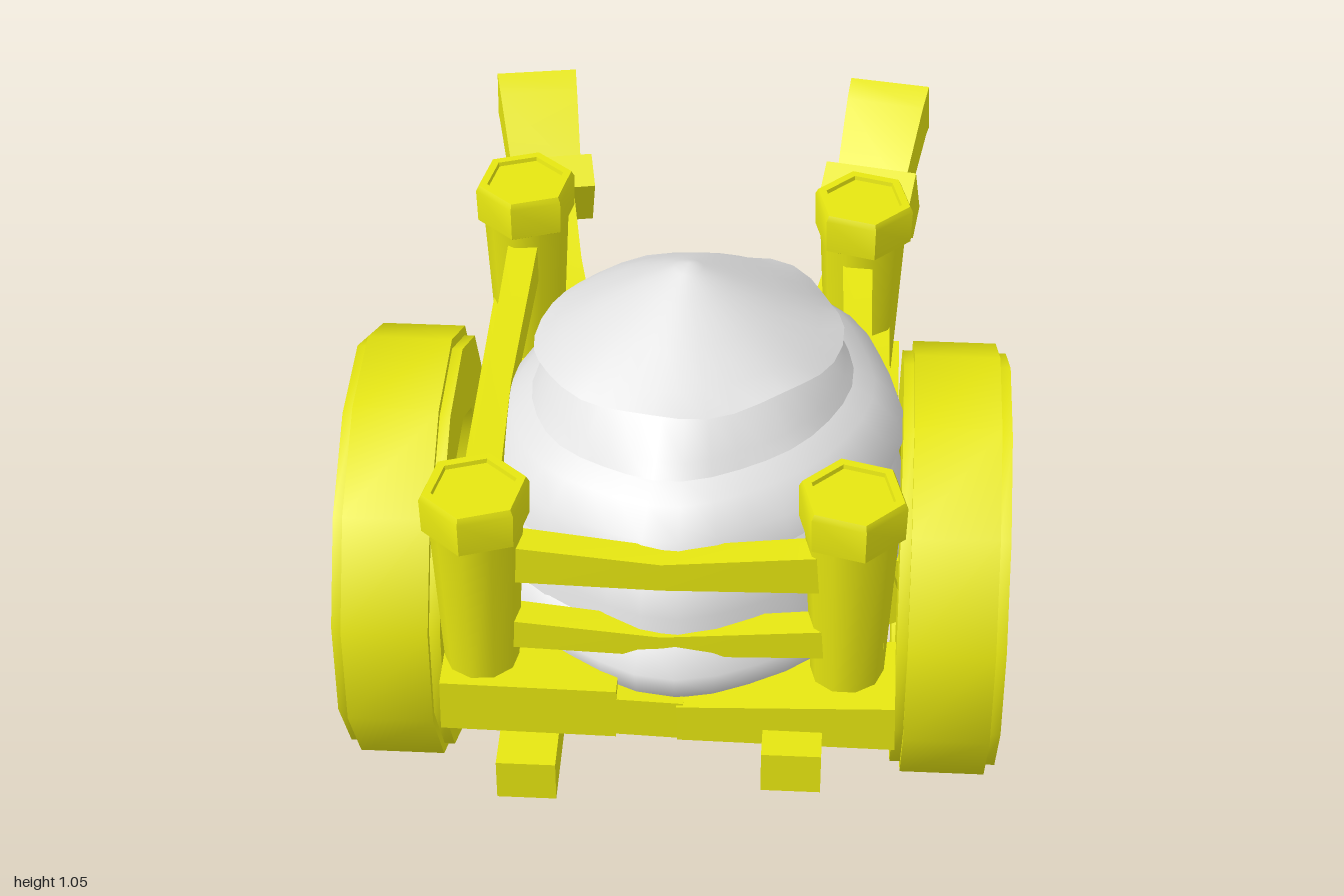
import * as THREE from 'three';
import { mergeVertices, toCreasedNormals } from 'three/addons/utils/BufferGeometryUtils.js';

const wood = new THREE.MeshStandardMaterial({ color: 0xe6e610 });
wood.name = 'yellow wood';
const cloth = new THREE.MeshStandardMaterial({ color: 0xe2e2e2, side: THREE.DoubleSide });
cloth.name = 'pale sack';

function add(parent, name, geometry, material = wood) {
  const mesh = new THREE.Mesh(geometry, material);
  mesh.name = name;
  parent.add(mesh);
  return mesh;
}

// Rectangular beam through points [x, y, z, width, height]
function beam(points, up = new THREE.Vector3(0, 1, 0)) {
  const pos = [], idx = [], n = points.length;
  const at = (i) => new THREE.Vector3(...points[Math.min(Math.max(i, 0), n - 1)].slice(0, 3));
  points.forEach(([, , , w, h], i) => {
    const t = at(i + 1).sub(at(i - 1)).normalize();
    const s = t.clone().cross(up).normalize();
    const u = s.clone().cross(t);
    for (const [a, b] of [[-1, -1], [1, -1], [1, 1], [-1, 1]]) {
      pos.push(...at(i).addScaledVector(s, a * w / 2).addScaledVector(u, b * h / 2).toArray());
    }
  });
  for (let i = 0; i < n - 1; i++) {
    for (let k = 0; k < 4; k++) {
      const a = i * 4 + k, b = i * 4 + (k + 1) % 4;
      idx.push(a, a + 4, b + 4, a, b + 4, b);
    }
  }
  const e = (n - 1) * 4;
  idx.push(0, 1, 2, 0, 2, 3, e, e + 2, e + 1, e, e + 3, e + 2);
  const g = new THREE.BufferGeometry();
  g.setAttribute('position', new THREE.Float32BufferAttribute(pos, 3));
  g.setIndex(idx);
  return toCreasedNormals(g, 0.4);
}

// Turned part from [radius, y] points, with sharp edges kept
function turned(points, sides, start = 0) {
  const profile = points.map(([r, y]) => new THREE.Vector2(r, y));
  return toCreasedNormals(new THREE.LatheGeometry(profile, sides, start), 0.6);
}

// Wheel built around the y axis, then laid over onto x
function makeWheel(capLength) {
  const wheel = new THREE.Group();
  const rim = [[0.255, -0.1], [0.396, -0.1], [0.396, -0.08], [0.415, -0.08],
    [0.415, 0.08], [0.396, 0.08], [0.396, 0.1], [0.255, 0.1], [0.255, -0.1]];
  add(wheel, 'wheelRim', turned(rim, 12, Math.PI / 12));
  add(wheel, 'wheelHub', turned([[0, -0.065], [0.133, -0.065], [0.133, 0.065], [0, 0.065]], 8, Math.PI / 8));
  const cap = [[0.083, 0.06], [0.083, 0.06 + capLength], [0, 0.06 + capLength]];
  add(wheel, 'hubCap', turned(cap, 6));
  for (let i = 0; i < 6; i++) {
    const spoke = new THREE.BoxGeometry(0.17, 0.06, 0.06);
    spoke.translate(0.185, 0, 0);
    add(wheel, 'spoke', spoke).rotation.y = (i * Math.PI) / 3 + Math.PI / 2;
  }
  return wheel;
}

// Sack layer from [radius, y] points, hem first, with wavy radius and hem
function sackLayer(points, cx, cz, sx, sz, wave, tiltX, tiltZ) {
  const g0 = new THREE.LatheGeometry(points.map(([r, y]) => new THREE.Vector2(r, y)), 36);
  g0.deleteAttribute('uv');
  g0.deleteAttribute('normal');
  const g = mergeVertices(g0, 1e-4);
  const p = g.attributes.position;
  const [rMax, yHem] = points[0];
  for (let i = 0; i < p.count; i++) {
    const x = p.getX(i), y = p.getY(i), z = p.getZ(i);
    const a = Math.atan2(z, x), r = Math.hypot(x, z) / rMax;
    const k = 1 + wave * r * (Math.sin(5 * a) + 0.6 * Math.sin(8 * a + 1));
    const hem = Math.abs(y - yHem) < 0.001 ? wave * 0.5 * Math.sin(7 * a + 2) : 0;
    p.setXYZ(i, cx + x * sx * k, y + hem + tiltX * x + tiltZ * z, cz + z * sz * k);
  }
  g.computeVertexNormals();
  return g;
}

export function createModel() {
  const cart = new THREE.Group();
  cart.name = 'handcart';

  // Wheels and axle
  for (const side of [-1, 1]) {
    const wheel = makeWheel(side < 0 ? 0.055 : 0.035);
    wheel.name = side > 0 ? 'leftWheel' : 'rightWheel';
    wheel.position.set(side > 0 ? 0.524 : -0.51, 0.405, 0.43);
    wheel.rotation.z = -side * Math.PI / 2;
    cart.add(wheel);
    add(cart, 'axleBlock', beam([[side * 0.27, 0.34, 0.43, 0.18, 0.15],
      [side * 0.33, 0.34, 0.43, 0.18, 0.15], [side * 0.43, 0.37, 0.43, 0.14, 0.14]]));
  }
  add(cart, 'axle', new THREE.BoxGeometry(0.96, 0.08, 0.1)).position.set(0, 0.39, 0.43);

  // Floor boards and frame
  for (let i = 0; i < 4; i++) {
    add(cart, 'floorBoard', new THREE.BoxGeometry(0.185, 0.05, 0.96))
      .position.set(-0.285 + i * 0.19, 0.375 + (i % 2) * 0.01, 0.38);
  }
  for (const [z, name] of [[0.84, 'frontPlank'], [-0.075, 'backPlank']]) {
    add(cart, name, beam([[-0.4, 0.43, z, 0.17, 0.11], [-0.08, 0.425, z, 0.17, 0.11]]));
    add(cart, name, beam([[-0.09, 0.415, z, 0.16, 0.085], [0.04, 0.41, z, 0.16, 0.085]]));
    add(cart, name, beam([[0.03, 0.408, z, 0.17, 0.08], [0.425, 0.418, z, 0.18, 0.1]]));
  }
  for (const x of [-0.35, 0.36]) {
    add(cart, 'sidePlank', beam([[x, 0.42, 0.78, 0.08, 0.09], [x, 0.42, 0, 0.08, 0.09]]));
  }

  // Shafts with collars and handles
  for (const s of [-1, 1]) {
    const drop = s < 0 ? 0.045 : 0;
    add(cart, 'shaft', beam([[s * 0.24, 0.362 - drop, 0.995, 0.108, 0.085],
      [s * 0.24, 0.325, 0, 0.105, 0.095], [s * 0.25, 0.305, -0.2, 0.105, 0.085],
      [s * 0.268, 0.3, -0.32, 0.105, 0.08], [s * 0.318, 0.328, -0.55, 0.105, 0.09],
      [s * 0.354, 0.385, -0.76, 0.105, 0.11]]));
    add(cart, 'collar', beam([[s * 0.352, 0.375, -0.74, 0.2, 0.155], [s * 0.365, 0.412, -0.81, 0.2, 0.155]]));
    add(cart, 'handle', beam([[s * 0.36, 0.395, -0.78, 0.15, 0.1], [s * 0.391, 0.508, -0.94, 0.17, 0.13],
      [s * 0.397, 0.518, -0.978, 0.175, 0.135]]));

    // Curved prop leg
    const x = s < 0 ? -0.22 : 0.25, bow = s < 0 ? 0 : 0.03;
    add(cart, 'propLeg', beam([[x - bow, 0.36, 0.03, 0.08, 0.075], [x - bow * 0.4, 0.26, 0.02, 0.08, 0.075],
      [x + bow * 0.2, 0.14, 0.01, 0.08, 0.085], [x, 0.02, 0.032, 0.075, 0.07], [x, 0, 0.032, 0.075, 0.07]],
    new THREE.Vector3(0, 0, 1)));
  }

  // Corner posts with hexagonal caps
  for (const [x, z] of [[-0.33, 0.84], [0.335, 0.82], [-0.33, -0.11], [0.34, -0.08]]) {
    const post = new THREE.Group();
    post.name = 'cornerPost';
    post.position.set(x, 0, z);
    post.rotation.y = x > 0 ? 0.25 : -0.2;
    add(post, 'postShaft', new THREE.CylinderGeometry(0.085, 0.067, 0.36, 10)).position.y = 0.64;
    add(post, 'postCap', turned([[0.075, 0.785], [0.098, 0.8], [0.1, 0.87], [0.094, 0.882],
      [0.077, 0.882], [0.075, 0.874], [0, 0.874]], 6));
    cart.add(post);
  }

  // Sagging rails on the front and both sides, two high; the back stays open
  for (const [y, h, out] of [[0.73, 0.085, 0.33], [0.565, 0.065, 0.37]]) {
    add(cart, 'frontRail', beam([[-0.33, y, 0.84, 0.06, h], [0, y - 0.012, 0.855, 0.05, h * 0.7],
      [0.33, y, 0.84, 0.06, h]]));
    for (const x of [-out, out]) {
      add(cart, 'sideRail', beam([[x, y, 0.84, 0.06, h], [x * 1.03, y - 0.012, 0.37, 0.05, h * 0.7],
        [x, y, -0.1, 0.06, h]]));
    }
  }

  // Layered sack under a peaked cover: profile, centre x and z, scale x and z, wave, tilts
  const sack = new THREE.Group();
  sack.name = 'sack';
  const layers = [
    ['sackBase', [[0.43, 0.4], [0.47, 0.45], [0.48, 0.5], [0.43, 0.56], [0.3, 0.6]],
      0.025, 0.415, 0.85, 1.03, 0.012, 0, 0.02],
    ['sackMiddle', [[0.46, 0.53], [0.45, 0.6], [0.43, 0.67], [0.36, 0.74], [0.25, 0.77]],
      0.03, 0.395, 0.87, 1.03, 0.014, 0.04, 0.02],
    ['sackUpper', [[0.41, 0.69], [0.395, 0.74], [0.35, 0.785], [0.31, 0.81]],
      0.03, 0.41, 0.96, 1.06, 0.016, 0.09, 0.06],
    ['sackTop', [[0.355, 0.775], [0.32, 0.82], [0.27, 0.88], [0.2, 0.93], [0, 0.96]],
      0.03, 0.385, 0.88, 0.98, 0.016, 0.06, 0.06],
    ['sackCover', [[0.31, 0.895], [0.26, 0.925], [0.18, 0.97], [0.09, 1.015], [0.03, 1.042], [0, 1.052]],
      0.022, 0.39, 0.92, 0.99, 0.015, 0.05, 0.13],
  ];
  for (const [name, ...shape] of layers) add(sack, name, sackLayer(...shape), cloth);
  cart.add(sack);

  return cart;
}
